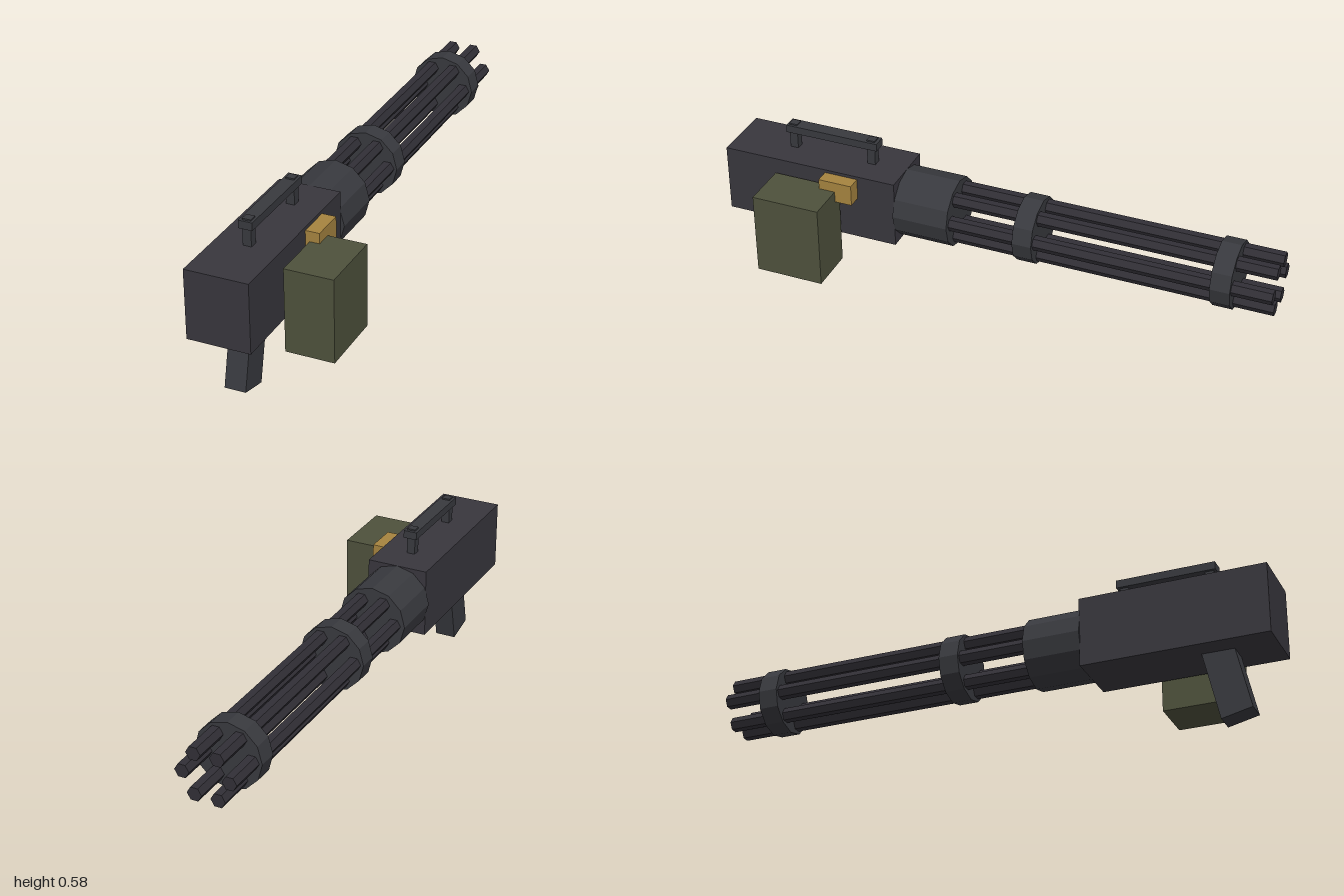
import * as THREE from 'three';

const AXIS_X = -0.088, AXIS_Y = 0.364;

function flat(name, color) {
  const m = new THREE.MeshStandardMaterial({ color });
  m.name = name;
  m.flatShading = true;
  return m;
}

export function createModel() {
  const model = new THREE.Group();
  model.name = 'rotaryGun';
  const body = flat('dark casing', 0x38363d);
  const metal = flat('gunmetal', 0x38393e);
  const steel = flat('barrel steel', 0x312f36);
  const olive = flat('olive box', 0x4e513c);
  const brass = flat('brass', 0xa5833f);

  const add = (name, geo, mat, x, y, z, parent = model) => {
    const mesh = new THREE.Mesh(geo, mat);
    mesh.name = name;
    mesh.position.set(x, y, z);
    parent.add(mesh);
    return mesh;
  };
  // Box given by its extents on each axis
  const box = (name, mat, [x0, x1], [y0, y1], [z0, z1], parent) =>
    add(name, new THREE.BoxGeometry(x1 - x0, y1 - y0, z1 - z0), mat,
      (x0 + x1) / 2, (y0 + y1) / 2, (z0 + z1) / 2, parent);
  // Prism along z with a corner pointing to +x
  const rod = (name, mat, r, sides, z0, z1, dx = 0, dy = 0, parent) => {
    const geo = new THREE.CylinderGeometry(r, r, z1 - z0, sides, 1, false, Math.PI / 2).rotateX(Math.PI / 2);
    return add(name, geo, mat, AXIS_X + dx, AXIS_Y + dy, (z0 + z1) / 2, parent);
  };

  // Receiver and the drum in front of it
  box('receiver', body, [-0.2, 0.023], [0.24, 0.488], [0.35, 1]);
  rod('drum', metal, 0.1245, 12, 0.15, 0.352);

  // Six barrels round the axis, held by two clamp rings
  const barrels = new THREE.Group();
  barrels.name = 'barrels';
  model.add(barrels);
  for (let i = 0; i < 6; i++) {
    const a = i * Math.PI / 3;
    rod('barrel', steel, 0.026, 6, -1, 0.16, 0.083 * Math.cos(a), 0.083 * Math.sin(a), barrels);
  }
  for (const z of [-0.86, -0.16]) rod('clampRing', metal, 0.119, 12, z, z + 0.07);

  // Carry handle
  const handle = new THREE.Group();
  handle.name = 'carryHandle';
  model.add(handle);
  for (const z of [0.464, 0.764]) {
    box('handlePost', metal, [-0.103, -0.073], [0.48, 0.583], [z, z + 0.03], handle);
  }
  box('handleBar', metal, [-0.113, -0.064], [0.55, 0.578], [0.453, 0.802], handle);

  // Slanted grip
  const grip = add('grip', new THREE.BoxGeometry(0.075, 0.3, 0.11), metal, -0.088, 0.159, 0.82);
  grip.rotation.x = -0.225;

  // Ammunition box and feed block
  box('ammoBox', olive, [0.038, 0.21], [0.14, 0.44], [0.553, 0.8]);
  box('ammoFeed', brass, [0.01, 0.073], [0.4, 0.477], [0.49, 0.613]);

  return model;
}
